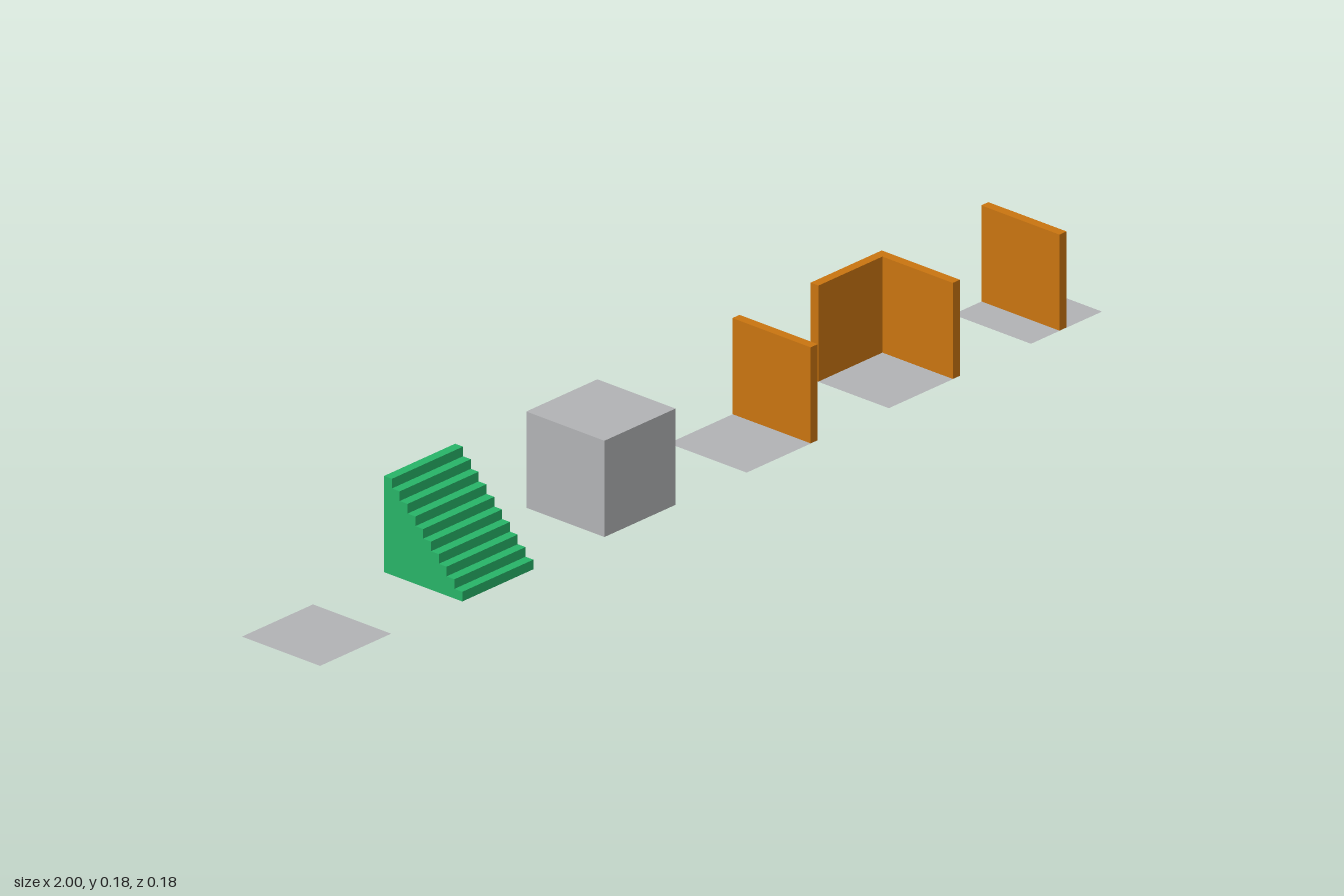
import * as THREE from 'three';

const TILE = 2 / 11;        // side of one tile; tiles are spaced two sides apart
const UNIT = TILE / 10;     // wall thickness and stair step
const LIFT = 0.0005;        // keeps wall feet just above the floor sheets

export function createModel() {
  const model = new THREE.Group();
  const stone = new THREE.MeshStandardMaterial({ name: 'stoneGrey', color: 0xb2b3b5, side: THREE.DoubleSide });
  const green = new THREE.MeshStandardMaterial({ name: 'stairGreen', color: 0x28b468 });
  const wood = new THREE.MeshStandardMaterial({ name: 'wallOrange', color: 0xca7510 });

  const tileX = (i) => -1 + TILE / 2 + i * 2 * TILE;

  const addMesh = (parent, name, geometry, material, x = 0, y = 0, z = 0) => {
    const mesh = new THREE.Mesh(geometry, material);
    mesh.name = name;
    mesh.position.set(x, y, z);
    parent.add(mesh);
  };

  const addTile = (name, index) => {
    const group = new THREE.Group();
    group.name = name;
    group.position.x = tileX(index);
    model.add(group);
    return group;
  };

  const addFloor = (tile) =>
    addMesh(tile, 'floor', new THREE.PlaneGeometry(TILE, TILE).rotateX(-Math.PI / 2), stone);

  const addWall = (tile, name, width, depth, x, z) =>
    addMesh(tile, name, new THREE.BoxGeometry(width, TILE - LIFT, depth), wood, x, (TILE + LIFT) / 2, z);

  const edge = TILE / 2 - UNIT / 2;

  // Bare floor
  addFloor(addTile('floorTile', 0));

  // Ten-step staircase rising to the back: side profile extruded across x
  const profile = new THREE.Shape();
  profile.moveTo(-TILE / 2, 0);
  for (let i = 0; i < 10; i++) {
    profile.lineTo(-TILE / 2 + i * UNIT, (i + 1) * UNIT);
    profile.lineTo(-TILE / 2 + (i + 1) * UNIT, (i + 1) * UNIT);
  }
  profile.lineTo(TILE / 2, 0);
  profile.closePath();
  const stairs = new THREE.ExtrudeGeometry(profile, { depth: TILE, bevelEnabled: false });
  stairs.translate(0, 0, -TILE / 2).rotateY(Math.PI / 2);
  addMesh(addTile('stairTile', 1), 'stairs', stairs, green);

  // Solid block
  addMesh(addTile('blockTile', 2), 'block', new THREE.BoxGeometry(TILE, TILE, TILE), stone, 0, TILE / 2);

  // Floor with a wall on its left edge
  const edgeTile = addTile('edgeWallTile', 3);
  addFloor(edgeTile);
  addWall(edgeTile, 'sideWall', UNIT, TILE, edge, 0);

  // Floor with a corner of two walls
  const cornerTile = addTile('cornerWallTile', 4);
  addFloor(cornerTile);
  addWall(cornerTile, 'sideWall', UNIT, TILE, edge, 0);
  addWall(cornerTile, 'backWall', TILE - UNIT, UNIT, -UNIT / 2, -edge);

  // Floor with a wall beside its centre line
  const middleTile = addTile('middleWallTile', 5);
  addFloor(middleTile);
  addWall(middleTile, 'middleWall', UNIT, TILE, -UNIT / 2, 0);

  return model;
}
